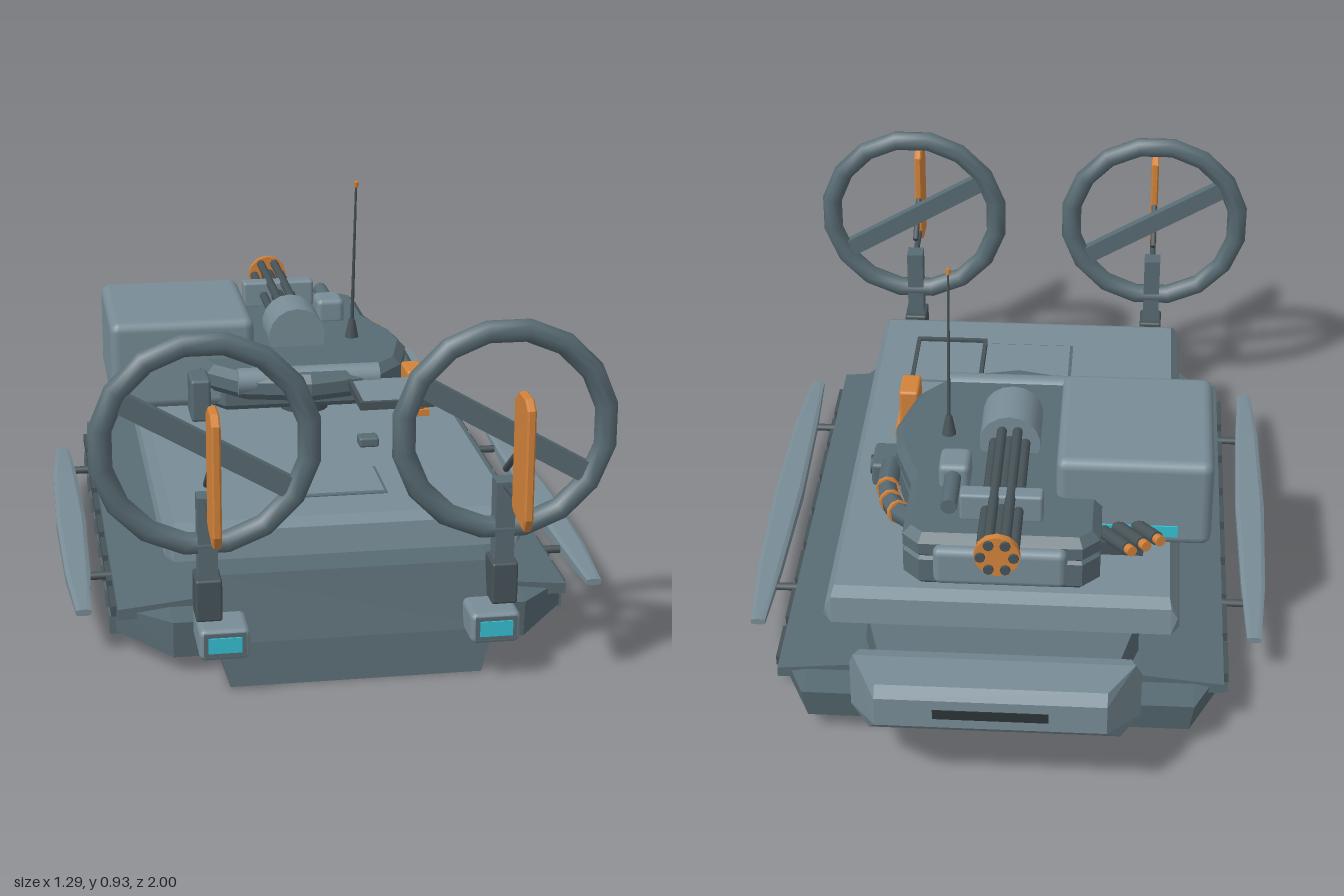
import * as THREE from 'three';
import { RoundedBoxGeometry } from 'three/addons/geometries/RoundedBoxGeometry.js';
import { ConvexGeometry } from 'three/addons/geometries/ConvexGeometry.js';

const paint = (name, color) => Object.assign(new THREE.MeshStandardMaterial({ color }), { name });

export function createModel() {
  const model = new THREE.Group();
  model.name = 'hovercraft';
  const light = paint('light armour', 0x788c96), dark = paint('dark armour', 0x586b73);
  const metal = paint('gun metal', 0x475358), black = paint('black rubber', 0x2d3437);
  const orange = paint('orange', 0xd2823a), cyan = paint('cyan glass', 0x35c0d2);
  const V = (x, y, z) => new THREE.Vector3(x, y, z);

  const add = (name, geo, mat, x = 0, y = 0, z = 0) => {
    const m = new THREE.Mesh(geo, mat);
    m.name = name;
    m.position.set(x, y, z);
    model.add(m);
    return m;
  };
  // box given by its limits on each axis; r rounds the edges
  const box = (name, mat, [x0, x1], [y0, y1], [z0, z1], r = 0) => {
    const s = [x1 - x0, y1 - y0, z1 - z0];
    const geo = r ? new RoundedBoxGeometry(...s, 2, r) : new THREE.BoxGeometry(...s);
    return add(name, geo, mat, (x0 + x1) / 2, (y0 + y1) / 2, (z0 + z1) / 2);
  };
  // round bar between two points
  const rod = (name, mat, a, b, r, r2 = r, sides = 10) => {
    const d = b.clone().sub(a);
    const m = add(name, new THREE.CylinderGeometry(r2, r, d.length(), sides), mat);
    m.position.copy(a).add(b).multiplyScalar(0.5);
    m.quaternion.setFromUnitVectors(V(0, 1, 0), d.normalize());
    return m;
  };
  // convex block from points mirrored across x
  const block = (name, mat, pts) =>
    add(name, new ConvexGeometry(pts.flatMap(([x, y, z]) => [V(x, y, z), V(-x, y, z)])), mat);
  // plan outline of [x, z] points raised from y0 to y1 with a bevel inside the outline
  const plan = (name, mat, pts, y0, y1, b) => {
    const shape = new THREE.Shape(pts.map(([x, z]) => new THREE.Vector2(x, -z)));
    const geo = new THREE.ExtrudeGeometry(shape, { depth: y1 - y0 - 2 * b, bevelThickness: b,
      bevelSize: b, bevelOffset: -b, bevelSegments: 1 });
    geo.rotateX(-Math.PI / 2);
    return add(name, geo, mat, 0, y0 + b, 0);
  };

  // Hull, skirt and deck
  block('hull', dark, [
    [0.29, 0, 0.79], [0.32, 0.1, 0.775], [0.31, 0.25, 0.73],
    [0.29, 0, -0.5], [0.22, 0, -0.6], [0.33, 0.1, -0.6], [0.33, 0.1, 0.6],
    [0.32, 0.25, 0.6], [0.32, 0.245, -0.62],
    [0.27, 0.06, -0.78], [0.25, 0.13, -0.85], [0.25, 0.18, -0.83]]);
  block('skirt', dark, [
    [0.53, 0.05, 0.56], [0.41, 0.04, 0.70], [0.53, 0.115, 0.57], [0.41, 0.13, 0.71],
    [0.52, 0.05, -0.62], [0.45, 0.05, -0.77], [0.53, 0.115, -0.62], [0.46, 0.13, -0.785],
    [0.48, 0.03, 0.54], [0.48, 0.03, -0.6], [0.40, 0.03, -0.7]]);
  block('sidePanels', dark, [
    [0.53, 0.105, 0.62], [0.53, 0.13, 0.62], [0.33, 0.15, 0.62],
    [0.53, 0.105, -0.70], [0.53, 0.13, -0.70], [0.33, 0.15, -0.70]]);
  block('deck', light, [-0.67, 0.64].flatMap(z => {
    const s = Math.sign(z);
    return [[0.40, 0.25, z], [0.42, 0.26, z - s * 0.02], [0.415, 0.29, z - s * 0.01],
      [0.395, 0.33, z - s * 0.04], [0.40, 0.315, z - s * 0.01]];
  }));
  box('deckHatchRim', dark, [-0.125, 0.125], [0.328, 0.332], [0.305, 0.485]);
  box('deckHatch', light, [-0.117, 0.117], [0.33, 0.336], [0.313, 0.477]);
  box('deckStud', dark, [0.11, 0.16], [0.33, 0.355], [0.125, 0.17], 0.006);

  // Bow bumper
  block('bowBumper', light, [
    [0.31, 0.31, -0.84], [0.335, 0.27, -0.84], [0.335, 0.15, -0.84], [0.28, 0.105, -0.85],
    [0.32, 0.325, -0.88], [0.26, 0.325, -0.98], [0.26, 0.30, -1], [0.26, 0.225, -1],
    [0.29, 0.115, -0.88]]);
  box('bumperSlot', black, [-0.13, 0.13], [0.25, 0.275], [-1.002, -0.99]);
  for (const x of [-0.24, -0.08, 0.08, 0.24])
    box('bowClamp', metal, [x - 0.035, x + 0.035], [0.18, 0.215], [-0.785, -0.762]);

  for (const s of [-1, 1]) {
    const span = (a, b) => s > 0 ? [a, b] : [-b, -a];

    // Skirt tabs and outrigger floats
    for (let i = 0; i < 8; i++) {
      const z = -0.58 + i * 0.155;
      box('skirtTab', dark, span(0.515, 0.545), [0.03, 0.075], [z - 0.025, z + 0.025]);
      box('skirtRail', metal, span(0.525, 0.543), [0.09, 0.115], [z - 0.06, z + 0.06]);
    }
    const float = [];
    for (const [z, a, b, h] of [[-0.51, 0.59, 0.625, 0.008], [-0.3, 0.58, 0.64, 0.016],
      [0.04, 0.573, 0.647, 0.02], [0.38, 0.58, 0.64, 0.016], [0.59, 0.59, 0.625, 0.008]])
      for (const y of [-h, h])
        float.push(V(s * a, 0.115 + y * 0.7, z), V(s * (a + 0.01), 0.115 + y, z),
          V(s * (b - 0.01), 0.115 + y, z), V(s * b, 0.115 + y * 0.7, z));
    add('outriggerFloat', new ConvexGeometry(float), light);
    for (const z of [-0.36, 0.37])
      rod('outriggerArm', metal, V(s * 0.5, 0.112, z), V(s * 0.6, 0.112, z), 0.01);

    // Hull side stripe and vents
    box('sideStripe', orange, span(0.32, 0.336), [0.185, 0.222], [-0.27, 0]);
    for (let i = 0; i < 3; i++)
      box('sideVent', black, span(0.32, 0.337), [0.145 + i * 0.02, 0.158 + i * 0.02], [0.02, 0.2]);

    // Tail lamps
    box('lampHousing', light, span(0.25, 0.365), [0.095, 0.17], [0.70, 0.853], 0.015);
    box('lampFrame', dark, span(0.26, 0.355), [0.107, 0.162], [0.84, 0.855]);
    box('lampGlass', cyan, span(0.27, 0.345), [0.117, 0.153], [0.85, 0.859]);

    // Fan ring, its slanted bar and post
    const cx = s * 0.337;
    const ring = add('fanRing', new THREE.TorusGeometry(0.235, 0.027, 8, 16), dark, cx, 0.577, 0.765);
    ring.rotation.z = Math.PI / 16;
    const bar = add('fanBar', new THREE.BoxGeometry(0.43, 0.048, 0.025), dark, cx, 0.577, 0.765);
    bar.rotation.z = -0.53;
    box('fanPost', dark, [cx - 0.022, cx + 0.022], [0.19, 0.46], [0.742, 0.79]);
    box('postFoot', metal, [cx - 0.03, cx + 0.03], [0.17, 0.27], [0.725, 0.805], 0.006);

    // Rudder, an upright chamfered blade with struts
    const blade = new THREE.Shape([[0.88, 0.44], [0.90, 0.43], [0.985, 0.42], [1, 0.45], [1, 0.70],
      [0.975, 0.72], [0.92, 0.72], [0.88, 0.695]].map(([z, y]) => new THREE.Vector2(-z, y)));
    const bladeGeo = new THREE.ExtrudeGeometry(blade, { depth: 0.012, bevelThickness: 0.004,
      bevelSize: 0.004, bevelOffset: -0.004, bevelSegments: 1 });
    add('rudder', bladeGeo.rotateY(Math.PI / 2), orange, cx - 0.006, 0, 0);
    for (const [y0, y1] of [[0.49, 0.57], [0.45, 0.46]])
      rod('rudderStrut', metal, V(cx, y0, 0.78), V(cx, y1, 0.89), 0.008);
  }

  // Turret
  const waist = [[-0.23, -0.42], [-0.23, -0.62], [-0.19, -0.66], [0.19, -0.66], [0.23, -0.62], [0.23, -0.42]];
  add('turretPivot', new THREE.CylinderGeometry(0.065, 0.065, 0.05, 16), metal, 0.02, 0.345, -0.18);
  plan('turretBase', dark, [...waist, [0.27, -0.3], [0.27, -0.12], [0.2, -0.07], [-0.2, -0.07], [-0.26, -0.15]],
    0.36, 0.45, 0.015);
  plan('turretTop', dark, [...waist, [0.28, -0.28], [0.29, -0.18], [0.25, -0.03], [0.17, 0.06], [0, 0.1],
    [-0.17, 0.06], [-0.25, -0.03], [-0.28, -0.15]], 0.43, 0.5, 0.02);
  rod('turretFrontBar', light, V(-0.18, 0.475, 0.035), V(0.18, 0.475, 0.035), 0.034, 0.034, 14);
  box('turretCheek', light, [-0.155, 0.155], [0.38, 0.48], [-0.685, -0.62], 0.018);
  box('equipmentPod', light, [-0.49, -0.12], [0.37, 0.602], [-0.485, -0.085], 0.025);
  box('podScreen', cyan, [-0.41, -0.2], [0.40, 0.43], [-0.489, -0.484]);
  box('leftBracket', dark, [-0.3, -0.25], [0.38, 0.49], [-0.04, 0.06], 0.008);
  box('rightBracket', orange, [0.25, 0.3], [0.385, 0.49], [-0.03, 0.06], 0.008);
  box('rightBracketFoot', orange, [0.23, 0.31], [0.368, 0.385], [-0.05, 0.06]);
  box('sideSensor', dark, [0.27, 0.35], [0.34, 0.405], [-0.235, -0.13], 0.01);
  rod('sensorLens', metal, V(0.34, 0.372, -0.183), V(0.356, 0.372, -0.183), 0.024, 0.024, 12);

  // Tray held out from the right bracket
  box('trayPlate', light, [0.1, 0.27], [0.468, 0.475], [0.06, 0.25]);
  for (const x of [0.095, 0.27]) box('trayRim', metal, [x, x + 0.01], [0.462, 0.482], [0.04, 0.26]);
  box('trayRim', metal, [0.095, 0.28], [0.462, 0.482], [0.25, 0.262]);

  // Rotary gun pointing to the bow
  rod('gunHousing', light, V(0, 0.527, -0.16), V(0, 0.527, -0.3), 0.074, 0.074, 18);
  rod('gunSpindle', metal, V(0, 0.53, -0.28), V(0, 0.53, -0.75), 0.018);
  for (let i = 0; i < 6; i++) {
    const a = i * Math.PI / 3, x = 0.038 * Math.cos(a), y = 0.53 + 0.038 * Math.sin(a);
    rod('gunBarrel', metal, V(x, y, -0.28), V(x, y, -0.775), 0.012, 0.012, 8);
  }
  rod('muzzleRing', orange, V(0, 0.53, -0.75), V(0, 0.53, -0.768), 0.053, 0.053, 12);
  box('gunClamp', light, [-0.095, 0.1], [0.495, 0.568], [-0.585, -0.54], 0.008);
  rod('gunScope', dark, V(0.125, 0.53, -0.58), V(0.125, 0.53, -0.4), 0.02);
  box('scopeBody', light, [0.085, 0.16], [0.49, 0.56], [-0.46, -0.37], 0.015);

  // Ammunition belt curving along the turret's left flank
  const belt = new THREE.CatmullRomCurve3([V(0.2, 0.46, -0.55), V(0.26, 0.43, -0.46),
    V(0.295, 0.41, -0.35), V(0.3, 0.4, -0.22)]);
  add('ammoBelt', new THREE.TubeGeometry(belt, 12, 0.026, 6), dark);
  for (const t of [0.3, 0.5, 0.7]) {
    const p = belt.getPoint(t), d = belt.getTangent(t).multiplyScalar(0.006);
    rod('beltBand', orange, p.clone().sub(d), p.clone().add(d), 0.029);
  }

  // Three angled launcher tubes
  for (let i = 0; i < 3; i++) {
    const x = -0.36 + i * 0.033, z = -0.52 - i * 0.022;
    rod('launcherTube', metal, V(x + 0.06, 0.42, z + 0.06), V(x, 0.44, z - 0.03), 0.017);
    rod('launcherTip', orange, V(x, 0.44, z - 0.03), V(x - 0.01, 0.443, z - 0.046), 0.013);
  }
  box('launcherMount', metal, [-0.33, -0.2], [0.38, 0.415], [-0.54, -0.47]);

  // Whip antenna
  rod('antennaBase', metal, V(0.155, 0.49, -0.225), V(0.155, 0.55, -0.22), 0.02, 0.008);
  rod('antenna', metal, V(0.155, 0.54, -0.222), V(0.155, 0.92, -0.172), 0.005, 0.003, 6);
  rod('antennaTip', orange, V(0.155, 0.918, -0.172), V(0.155, 0.932, -0.17), 0.006, 0.006, 6);

  return model;
}
